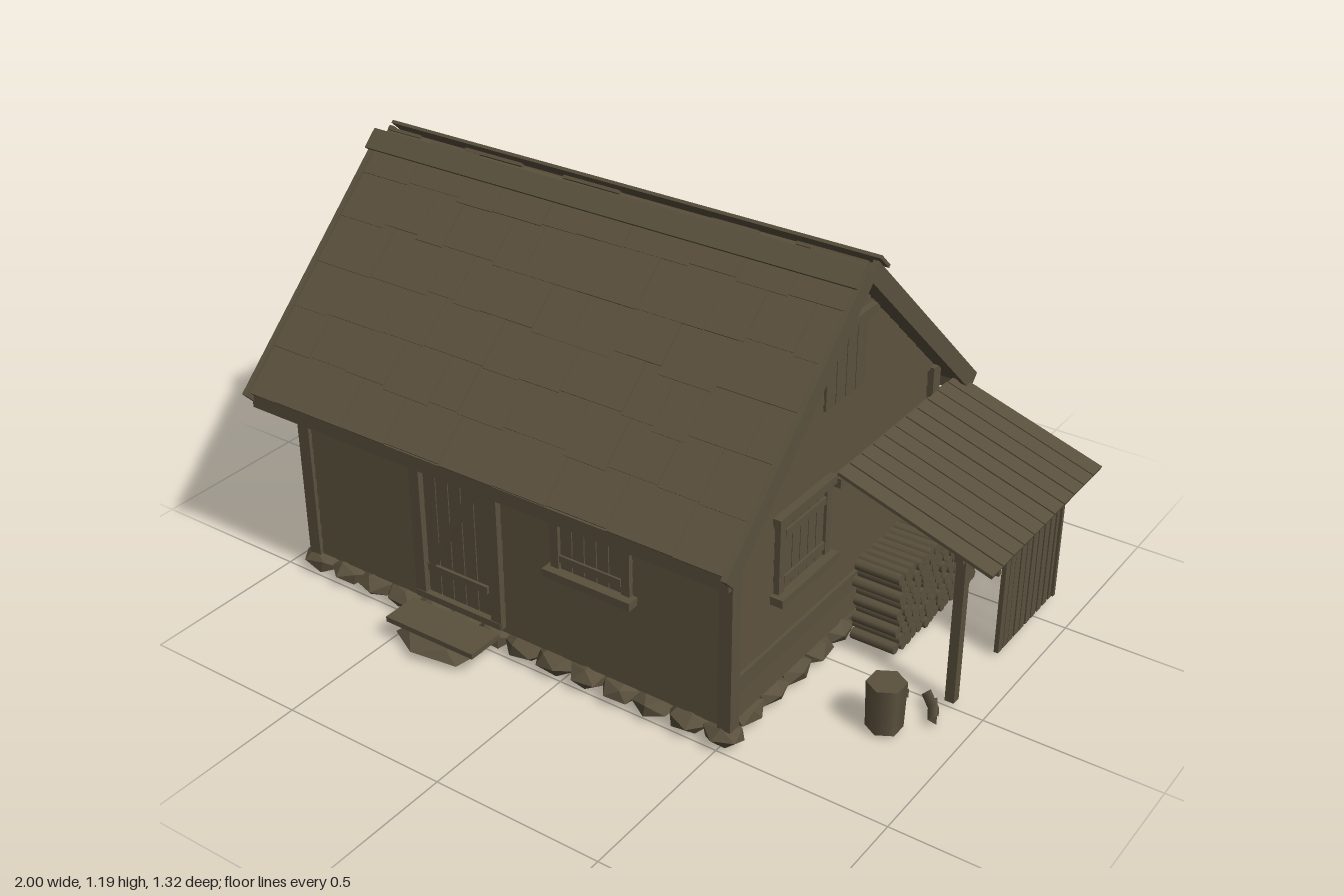
import * as THREE from 'three';

const wood = new THREE.MeshStandardMaterial({ color: 0x5a503d });
wood.name = 'weatheredWood';

let seed = 7;
const rnd = (a = 0, b = 1) => {
  seed = (seed * 16807) % 2147483647;
  return a + (b - a) * (seed / 2147483647);
};

function group(parent, name) {
  const g = new THREE.Group();
  g.name = name;
  parent.add(g);
  return g;
}

function mesh(parent, name, geo, x, y, z) {
  const m = new THREE.Mesh(geo, wood);
  m.name = name;
  m.position.set(x, y, z);
  parent.add(m);
  return m;
}

const box = (parent, name, w, h, d, x, y, z) =>
  mesh(parent, name, new THREE.BoxGeometry(w, h, d), x, y, z);

// Box given by its extents
const span = (parent, name, x0, x1, y0, y1, z0, z1) =>
  box(parent, name, x1 - x0, y1 - y0, z1 - z0, (x0 + x1) / 2, (y0 + y1) / 2, (z0 + z1) / 2);

const ZC = -0.029, XC = -0.205;   // ridge line z, roof centre x
const SLOPE = 0.943, PITCH = Math.atan(SLOPE);
const APEX = 1.14;                // top of the gable walls
const HALF = 0.495;               // half depth of the walls
const X0 = -0.89, X1 = 0.505;     // gable wall planes

function buildWalls(root) {
  const g = group(root, 'walls');
  const s = new THREE.Shape();
  s.moveTo(-HALF, 0.06);
  s.lineTo(HALF, 0.06);
  s.lineTo(HALF, APEX - HALF * SLOPE);
  s.lineTo(0, APEX);
  s.lineTo(-HALF, APEX - HALF * SLOPE);
  s.closePath();
  const geo = new THREE.ExtrudeGeometry(s, { depth: X1 - X0, bevelEnabled: false });
  geo.rotateY(Math.PI / 2);
  mesh(g, 'wallCore', geo, X0, 0, ZC);

  // Overlapping siding, each board leaning out at its lower edge
  for (let y = 0.1; y < 1.12; y += 0.05) {
    if (y < 0.6) for (const sg of [1, -1])
      box(g, 'longWallBoard', X1 - X0, 0.054, 0.01, (X0 + X1) / 2, y, ZC + sg * (HALF + 0.006))
        .rotation.x = -sg * 0.07;
    // Upper boards run up into the roof deck
    const half = Math.min(HALF, (APEX - y + 0.022) / SLOPE);
    for (const [x, out, sg] of [[X1, y > 0.66 ? 0.011 : 0.006, 1], [X0, 0.006, -1]])
      box(g, 'gableBoard', 0.01, 0.054, half * 2, x + sg * out, y, ZC).rotation.z = sg * 0.07;
  }
  // Corner posts and the rail across the right-hand gable
  for (const sg of [1, -1]) for (const [x, o] of [[X0, -1], [X1, 1]])
    box(g, 'cornerPost', 0.04, 0.61, 0.04, x + o * 0.01, 0.375, ZC + sg * (HALF + 0.003));
  span(g, 'gableRail', X1, X1 + 0.02, 0.16, 0.21, ZC - HALF + 0.012, ZC + HALF - 0.012);
}

function buildRoof(root) {
  const g = group(root, 'roof');
  for (const s of [1, -1]) {
    const slope = group(g, s > 0 ? 'frontRoofSlope' : 'backRoofSlope');
    slope.position.set(XC, 1.205, ZC);
    slope.rotation.x = s * PITCH;
    box(slope, 'roofDeck', 1.57, 0.026, 0.81, 0, -0.025, s * 0.43);
    // Shingle courses of uneven widths and lengths
    for (let i = 0; i < 6; i++) {
      const end = 0.85 - i * 0.14;
      const len = Math.min(0.165, end - 0.015);
      const jitter = i ? 0.012 : 0.004;
      for (let x = -0.78; x < 0.779;) {
        let w = rnd(0.09, 0.21);
        if (x + w > 0.72) w = 0.78 - x;
        const e = end + rnd(-jitter, jitter);
        box(slope, 'shingle', w - 0.002, 0.009, len, x + w / 2, -0.007 + rnd(-0.001, 0.001), s * (e - len / 2))
          .rotation.x = -s * 0.025;
        x += w;
      }
    }
    // Gable edge boards
    for (const x of [-0.787, 0.787])
      box(slope, 'bargeBoard', 0.016, 0.053, 0.838, x, -0.02, s * 0.4465);
    box(g, 'eaveBoard', 1.57, 0.042, 0.014, XC, 0.588, ZC + s * 0.6);
    // Raised ridge planks
    box(g, 'ridgePlank', 1.59, 0.009, 0.062, XC, 1.177, ZC + s * 0.0575).rotation.x = s * PITCH;
  }
  box(g, 'ridgeBeam', 1.56, 0.05, 0.036, XC, 1.16, ZC);
}

// Planked panel in a frame, built facing +z around x = 0
function shutter(parent, name, w, y0, y1, boards, framed) {
  const g = group(parent, name);
  const b = w / boards;
  for (let i = 0; i < boards; i++)
    box(g, 'shutterBoard', b - 0.003, y1 - y0, 0.012, -w / 2 + b * (i + 0.5), (y0 + y1) / 2, 0);
  if (framed) {
    for (const y of [y0 + 0.032, y1 - 0.035]) box(g, 'shutterBar', w, 0.022, 0.01, 0, y, 0.007);
    for (const s of [1, -1])
      box(g, 'frameSide', 0.026, y1 - y0, 0.02, s * (w / 2 + 0.016), (y0 + y1) / 2, 0.002);
    box(g, 'sill', w + 0.085, 0.024, 0.045, 0, y0 - 0.014, 0.01);
  }
  box(g, 'header', w + (framed ? 0.08 : 0.05), 0.024, 0.028, 0, y1 + 0.013, 0.005);
  return g;
}

function buildOpenings(root) {
  const zf = ZC + HALF + 0.014;
  shutter(root, 'frontWindow', 0.195, 0.365, 0.55, 5, true).position.set(0.1, 0, zf);
  const side = shutter(root, 'sideWindow', 0.193, 0.369, 0.574, 5, true);
  side.position.set(X1 + 0.016, 0, 0.146);
  side.rotation.y = Math.PI / 2;
  const hatch = shutter(root, 'loftHatch', 0.194, 0.805, 1.0, 4, false);
  hatch.position.set(X1 + 0.017, 0, -0.03);
  hatch.rotation.y = Math.PI / 2;
  box(root, 'gableRidgeBlock', 0.03, 0.03, 0.03, X1 + 0.012, 1.085, -0.03);
  box(root, 'gableTie', 0.03, 0.008, 0.14, X1 + 0.008, 1.055, ZC);

  // Plank door with a Z brace
  const d = group(root, 'door');
  d.position.set(-0.352, 0, zf);
  for (let i = 0; i < 5; i++)
    box(d, 'doorPlank', 0.041, 0.44, 0.012, -0.088 + i * 0.044, 0.335, 0);
  for (const s of [1, -1]) box(d, 'doorJamb', 0.035, 0.49, 0.026, s * 0.134, 0.335, 0.004);
  box(d, 'doorHeader', 0.3, 0.024, 0.03, 0, 0.567, 0.004);
  for (const y of [0.2, 0.54]) box(d, 'doorBar', 0.21, 0.022, 0.012, 0, y, 0.009);
  box(d, 'doorBrace', 0.024, 0.37, 0.012, 0, 0.37, 0.009).rotation.z = -0.52;
  box(d, 'threshold', 0.3, 0.02, 0.03, 0, 0.1, 0.004);
}

function stone(parent, name, x, y, z, sx, sy, sz) {
  const geo = new THREE.IcosahedronGeometry(1, 0);
  geo.rotateY(rnd(0, 6));
  geo.rotateZ(rnd(-0.4, 0.4));
  geo.scale(sx, sy, sz);
  return mesh(parent, name, geo, x, y, z);
}

function buildFoundation(root) {
  const g = group(root, 'foundation');
  for (let i = 0; i < 14; i++) for (const s of [1, -1])
    stone(g, 'foundationStone', -0.89 + i * 0.107, 0.046, ZC + s * 0.495,
      rnd(0.062, 0.07), rnd(0.032, 0.038), rnd(0.05, 0.06));
  for (let i = 1; i < 9; i++) for (const x of [-0.885, 0.5])
    stone(g, 'foundationStone', x, 0.046, ZC + 0.5 - i * 0.111,
      rnd(0.045, 0.055), rnd(0.032, 0.038), rnd(0.062, 0.07));
  stone(g, 'doorstepStone', -0.36, 0.034, 0.575, 0.145, 0.03, 0.085);
  span(g, 'doorstepPlank', -0.505, -0.2, 0.07, 0.086, 0.508, 0.623);
}

function buildShed(root) {
  const g = group(root, 'woodShed');
  // Sloping board roof
  const roof = group(g, 'shedRoof');
  roof.position.set(0.772, 0.538, 0);
  roof.rotation.z = -0.312;
  for (let i = 0; i < 11; i++)
    box(roof, 'shedRoofBoard', 0.474, 0.01, 0.055, 0, rnd(-0.001, 0.001), -0.005 - i * 0.0594);
  span(g, 'shedBeam', 0.885, 0.91, 0.463, 0.49, -0.615, 0.01);
  span(g, 'shedWallBeam', 0.522, 0.55, 0.56, 0.588, -0.615, 0.01);
  span(g, 'shedPost', 0.885, 0.912, 0.02, 0.47, -0.032, -0.004);
  // Back slats step down with the roof
  for (let i = 0; i < 9; i++) {
    const x = 0.56 + i * 0.0425;
    const top = 0.6 - (x - 0.55) * 0.322;
    span(g, 'backSlat', x - 0.014, x + 0.014, 0.025, top - 0.015, -0.61, -0.597);
  }
  // Outer side slats, set tight toward the front
  for (const z of [-0.283, -0.313, -0.343, -0.38, -0.413, -0.45, -0.485, -0.522, -0.558, -0.595])
    box(g, 'sideSlat', 0.013, 0.45, rnd(0.024, 0.029), 0.9, 0.245, z);

  // Stacked firewood
  const pile = group(g, 'firewood');
  for (let r = 0; r < 9; r++) for (let c = 0; c < 15; c++) {
    const geo = new THREE.CylinderGeometry(0.0165, 0.0165, rnd(0.135, 0.148), 7);
    geo.rotateY(rnd(0, 3));
    geo.rotateZ(Math.PI / 2);
    mesh(pile, 'log', geo, 0.618 + rnd(-0.004, 0.004), 0.04 + r * 0.0283, -0.104 - c * 0.0315 - (r % 2) * 0.0155);
  }
}

function buildYard(root) {
  mesh(root, 'choppingBlock', new THREE.CylinderGeometry(0.054, 0.05, 0.14, 6), 0.805, 0.087, 0.175);
  // Split pieces lying on the ground
  for (const [x, z, a] of [[0.76, 0.04, -0.15], [0.89, 0.065, -1.1], [0.87, 0.04, -0.8]]) {
    const geo = new THREE.CylinderGeometry(0.016, 0.016, 0.08, 3);
    geo.rotateZ(Math.PI / 2);
    mesh(root, 'splitLog', geo, x, 0.032, z).rotation.y = a;
  }
}

export function createModel() {
  const root = new THREE.Group();
  root.name = 'woodenCabin';
  buildWalls(root);
  buildRoof(root);
  buildOpenings(root);
  buildFoundation(root);
  buildShed(root);
  buildYard(root);
  return root;
}
